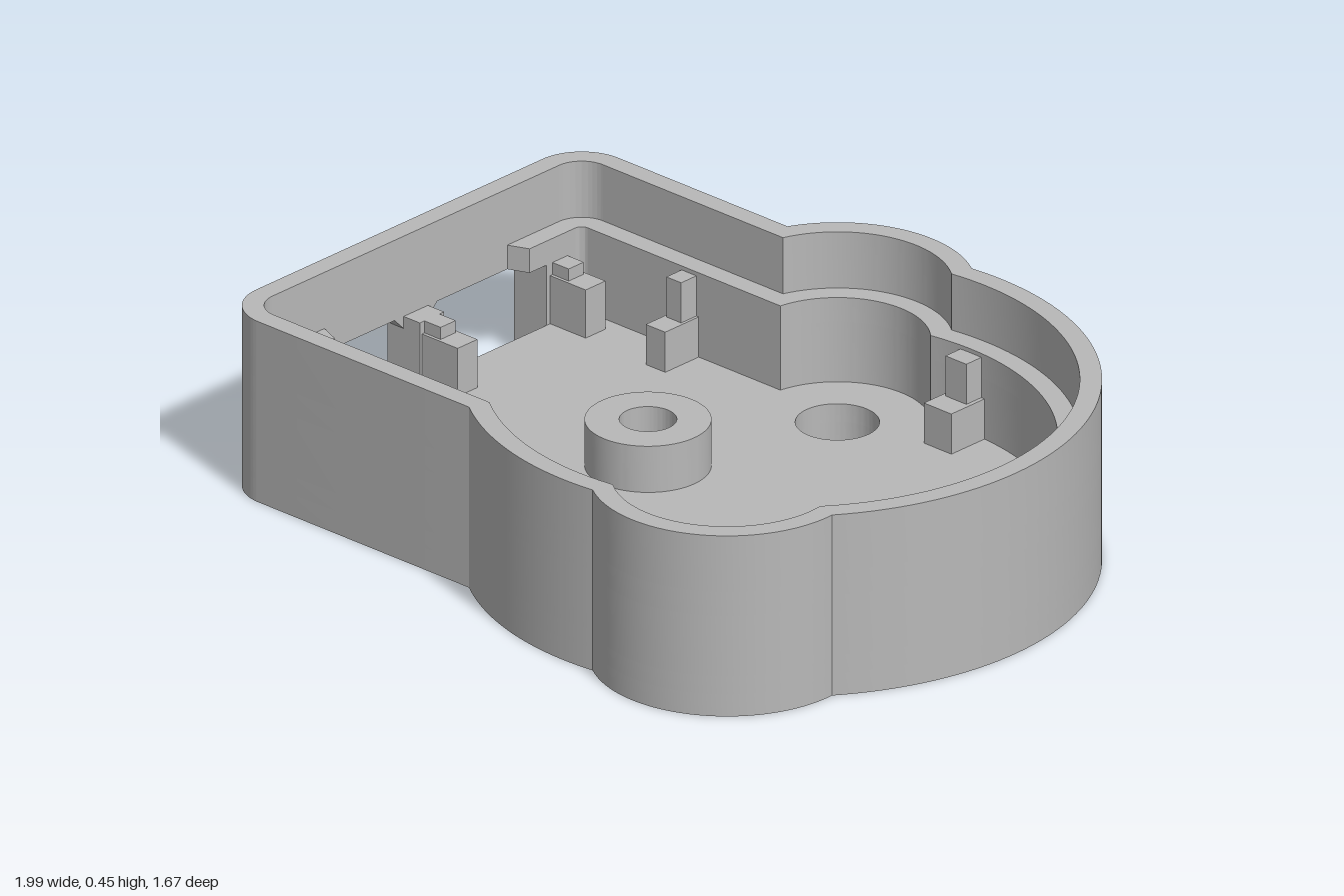
import * as THREE from 'three';
import { toCreasedNormals } from 'three/addons/utils/BufferGeometryUtils.js';

const plastic = new THREE.MeshStandardMaterial({ color: 0xb8b8b8 });
plastic.name = 'grey plastic';

// Plan dimensions: a round body, two screw lobes and a square-ended extension
const R = 0.72, LOBE_R = 0.31, HALF = 0.59, LEFT = -1.183, CORNER = 0.12;
const LOBE = { x: 0.26, y: 0.457 };
const FLOOR = 0.1, PORT_TOP = 0.25, LEDGE = 0.31, TOP = 0.45;
const WALL = 0.1, LIP = 0.05, PORT_IN = 0.04, PORT_OUT = 0.375;

// Case outline moved inwards by d, from the back corner round to the front corner
function outline(d) {
  const r = R - d, lr = LOBE_R - d, h = HALF - d, c = CORNER - d, x = LEFT + CORNER;
  const D = Math.hypot(LOBE.x, LOBE.y), phi = Math.atan2(LOBE.y, LOBE.x);
  const alpha = Math.acos((r * r + D * D - lr * lr) / (2 * r * D));
  const lobeAngle = (a, s) =>
    Math.atan2(r * Math.sin(a) - s * LOBE.y, r * Math.cos(a) - s * LOBE.x);
  const dv = -h + LOBE.y;
  const backStart = Math.atan2(dv, -Math.sqrt(lr * lr - dv * dv));
  const path = new THREE.Path();
  path.absarc(x, -HALF + CORNER, c, Math.PI, 1.5 * Math.PI, false);
  path.absarc(-LOBE.x, -LOBE.y, lr, backStart, lobeAngle(phi - Math.PI + alpha, -1), false);
  path.absarc(0, 0, r, phi - Math.PI + alpha, phi - alpha, false);
  path.absarc(LOBE.x, LOBE.y, lr, lobeAngle(phi - alpha, 1), lobeAngle(phi + alpha, 1), false);
  path.absarc(0, 0, r, phi + alpha, Math.PI - Math.asin(h / r), false);
  path.absarc(x, HALF - CORNER, c, Math.PI / 2, Math.PI, false);
  return path.getPoints(28);
}

const pts = (list) => list.map(([x, y]) => new THREE.Vector2(x, y));

function circle(x, y, r) {
  const p = new THREE.Path();
  p.absarc(x, y, r, 0, Math.PI * 2, false);
  return p.getPoints(48).slice(0, -1);
}

// Horizontal slab between heights y0 and y1
function slab(name, points, holes, y0, y1) {
  const shape = new THREE.Shape(points);
  shape.holes = holes.map((h) => new THREE.Path(h));
  const geo = new THREE.ExtrudeGeometry(shape, { depth: y1 - y0, bevelEnabled: false });
  geo.rotateX(Math.PI / 2).translate(0, y1, 0);
  const mesh = new THREE.Mesh(toCreasedNormals(geo, 0.45), plastic);
  mesh.name = name;
  return mesh;
}

function box(name, x0, x1, y0, y1, z0, z1) {
  const geo = new THREE.BoxGeometry(x1 - x0, y1 - y0, z1 - z0);
  geo.translate((x0 + x1) / 2, (y0 + y1) / 2, (z0 + z1) / 2);
  const mesh = new THREE.Mesh(geo, plastic);
  mesh.name = name;
  return mesh;
}

// Board support against a wall: a low step and an optional taller back
function support(x, z, angle, width, stepTop, backTop) {
  const g = new THREE.Group();
  g.name = 'boardSupport';
  g.add(box('supportStep', -0.11, 0.02, FLOOR, stepTop, -width / 2, width / 2));
  if (backTop > stepTop) {
    g.add(box('supportBack', -0.05, 0.02, stepTop, backTop, -width * 0.38, width * 0.38));
  }
  g.position.set(x, 0, z);
  g.rotation.y = -angle;
  return g;
}

export function createModel() {
  const model = new THREE.Group();
  model.name = 'enclosureBase';
  const body = new THREE.Group();
  body.name = 'enclosureBody';
  body.position.set(0.275, 0, 0.015);
  body.rotation.y = -Math.PI / 12;
  model.add(body);

  const outer = outline(0), inner = outline(WALL), lip = outline(LIP);
  const inX = LEFT + WALL;

  // Floor with port notches, screw holes and a round recess underneath
  const notched = outer.concat(pts([
    [LEFT, PORT_OUT], [inX, PORT_OUT], [inX, PORT_IN], [LEFT, PORT_IN],
    [LEFT, -PORT_IN], [inX, -PORT_IN], [inX, -PORT_OUT], [LEFT, -PORT_OUT],
  ]));
  const holes = [
    circle(LOBE.x, LOBE.y, 0.095), circle(-LOBE.x, -LOBE.y, 0.095), circle(-0.415, 0, 0.065),
  ];
  body.add(slab('floorUnderside', notched, [...holes, circle(0, 0, 0.24)], 0, 0.055));
  body.add(slab('floor', notched, holes, 0.055, FLOOR));

  // Lower wall, open at the two ports
  const cWall = [
    ...pts([[LEFT, -PORT_OUT]]), ...outer, ...pts([[LEFT, PORT_OUT], [inX, PORT_OUT]]),
    ...inner.slice().reverse(), ...pts([[inX, -PORT_OUT]]),
  ];
  body.add(slab('lowerWall', cWall, [], FLOOR, PORT_TOP));
  body.add(box('portPost', LEFT, inX, FLOOR, PORT_TOP, -PORT_IN, PORT_IN));

  // Wall up to the ledge, thinned above the ports
  const thinned = inner.concat(pts([
    [inX, 0.32], [LEFT + LIP, 0.3], [LEFT + LIP, -0.3], [inX, -0.32],
  ]));
  body.add(slab('ledgeWall', outer, [thinned], PORT_TOP, LEDGE));

  // Thin rim above the ledge
  body.add(slab('rim', outer, [lip], LEDGE, TOP));

  // Chamfers in the upper corners of the ports
  for (const side of [-1, 1]) {
    for (const [edge, dir] of [[PORT_IN, 1], [PORT_OUT, -1]]) {
      const tri = pts([
        [side * edge, PORT_TOP], [side * (edge + dir * 0.03), PORT_TOP],
        [side * edge, PORT_TOP - 0.03],
      ]);
      const geo = new THREE.ExtrudeGeometry(new THREE.Shape(tri), { depth: LIP, bevelEnabled: false });
      geo.rotateY(-Math.PI / 2).translate(LEFT + LIP, 0, 0);
      const chamfer = new THREE.Mesh(geo, plastic);
      chamfer.name = 'portChamfer';
      body.add(chamfer);
    }
  }

  // Hollow boss
  body.add(slab('boss', circle(-0.415, 0, 0.143), [circle(-0.415, 0, 0.065)], FLOOR, 0.215));

  // Board supports round the curved wall, the straight walls and the port wall
  for (const deg of [-90, -35, 0, 35, 90]) {
    const a = THREE.MathUtils.degToRad(deg), r = R - WALL;
    const slim = deg === 35;
    body.add(support(r * Math.cos(a), r * Math.sin(a), a, slim ? 0.065 : 0.085, 0.2, slim ? 0.29 : 0.3));
  }
  for (const s of [-1, 1]) {
    body.add(support(-0.75, s * (HALF - WALL), s * Math.PI / 2, 0.06, 0.2, 0.3));
  }
  for (const v of [-0.42, 0, 0.42]) {
    body.add(support(inX, v, Math.PI, 0.065, 0.22, 0.25));
  }
  return model;
}
